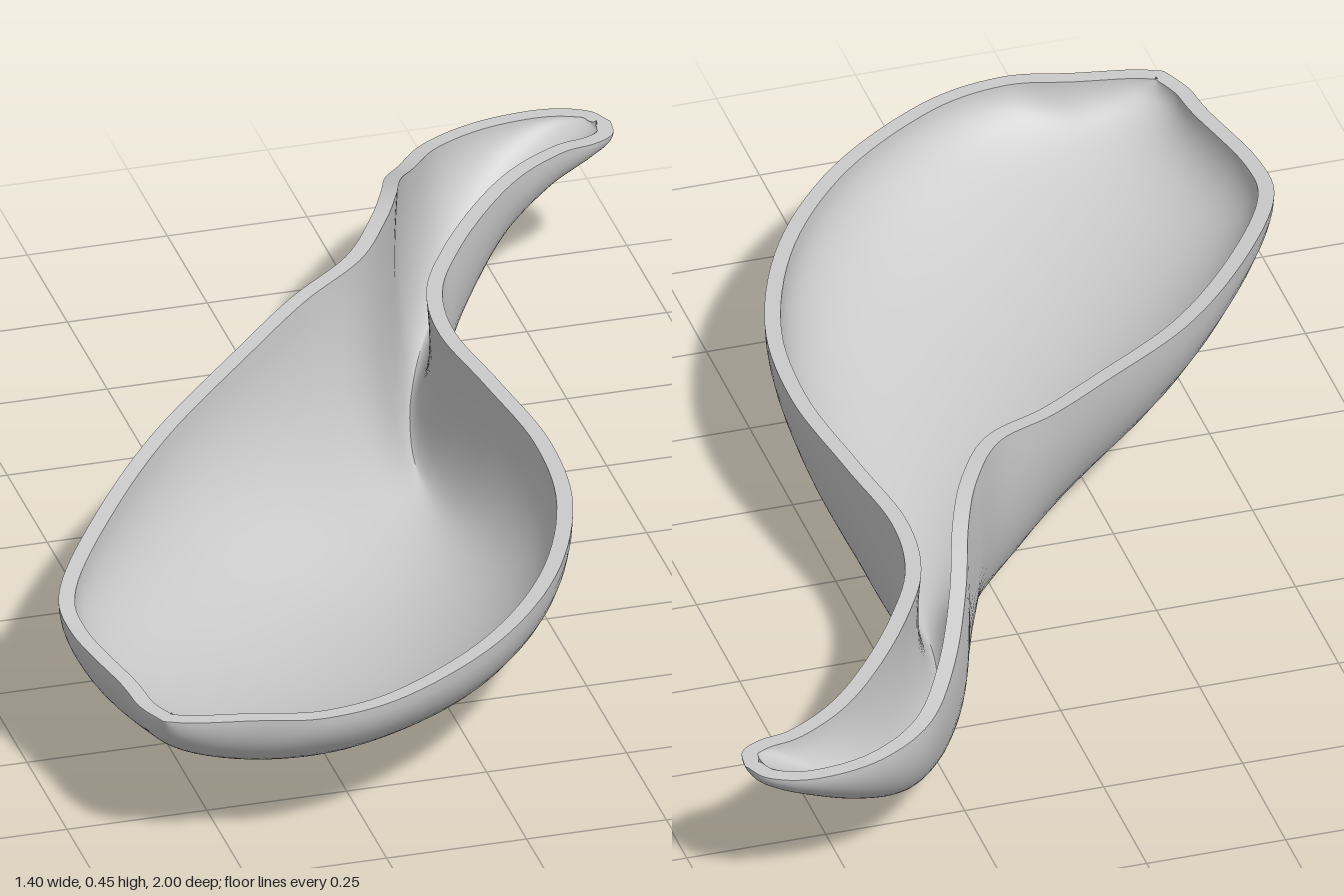
import * as THREE from 'three';

// Cross-sections from the blunt end to the handle tip:
// high rim x, y, z | low rim x, z | depth y
const SECTIONS = [
  [-0.63, 0.29, 0.935, -0.63, 0.935, 0.29],
  [-0.655, 0.29, 0.87, -0.58, 0.955, 0.24],
  [-0.665, 0.293, 0.79, -0.48, 0.975, 0.195],
  [-0.7, 0.3, 0.6, -0.355, 1.0, 0.15],
  [-0.68, 0.31, 0.46, -0.2, 0.96, 0.11],
  [-0.56, 0.33, 0.26, 0.0, 0.82, 0.06],
  [-0.4, 0.36, 0.06, 0.16, 0.62, 0.03],
  [-0.2, 0.4, -0.12, 0.26, 0.38, 0.012],
  [-0.07, 0.425, -0.23, 0.285, 0.15, 0.003],
  [0.05, 0.445, -0.31, 0.26, -0.08, 0],
  [0.125, 0.45, -0.42, 0.235, -0.27, 0.01],
  [0.175, 0.435, -0.53, 0.255, -0.42, 0.025],
  [0.22, 0.39, -0.66, 0.32, -0.55, 0.045],
  [0.28, 0.335, -0.79, 0.41, -0.68, 0.078],
  [0.36, 0.305, -0.91, 0.5, -0.78, 0.13],
  [0.47, 0.293, -0.98, 0.59, -0.84, 0.185],
  [0.59, 0.29, -1.0, 0.65, -0.855, 0.23],
  [0.67, 0.29, -0.975, 0.69, -0.88, 0.262],
  [0.7, 0.29, -0.925, 0.7, -0.925, 0.29],
];
const RIM = 0.29, WALL = 0.028, N = 126, M = 32;

// Smooth grid surface from a point rule p(i, j)
function grid(n, m, p) {
  const pos = [], index = [], w = m + 1;
  for (let i = 0; i <= n; i++) for (let j = 0; j <= m; j++) pos.push(...p(i, j).toArray());
  for (let i = 0; i < n; i++) for (let j = 0; j < m; j++) {
    const a = i * w + j, b = a + w;
    index.push(a, b, a + 1, b, b + 1, a + 1);
  }
  const g = new THREE.BufferGeometry();
  g.setAttribute('position', new THREE.Float32BufferAttribute(pos, 3));
  g.setIndex(index);
  g.computeVertexNormals();
  return g;
}

// Give each collapsed end row one shared normal
function smoothPoles(g) {
  const nor = g.attributes.normal, v = new THREE.Vector3();
  for (const i of [0, N]) {
    const sum = new THREE.Vector3();
    for (let j = 0; j <= M; j++) sum.add(v.fromBufferAttribute(nor, i * (M + 1) + j));
    sum.normalize();
    for (let j = 0; j <= M; j++) nor.setXYZ(i * (M + 1) + j, sum.x, sum.y, sum.z);
  }
  return g;
}

export function createModel() {
  const group = new THREE.Group();
  group.name = 'scoop';
  const material = new THREE.MeshStandardMaterial({ color: 0xcccccc });
  const add = (name, geometry) => {
    const mesh = new THREE.Mesh(geometry, material);
    mesh.name = name;
    group.add(mesh);
  };
  const curve = (f) => new THREE.CatmullRomCurve3(
    SECTIONS.map((s) => new THREE.Vector3(...f(s))), false, 'catmullrom', 0.5);
  const high = curve((s) => [s[0], s[1], s[2]]);
  const low = curve((s) => [s[3], RIM, s[4]]);
  const depth = curve((s) => [0, s[5], 0]);

  // Outer shell: half-ellipse sections, bulging past the rim at the neck
  const outerPoint = (i, j) => {
    const t = i / N, a = (j / M - 0.5) * Math.PI;
    const bulge = 0.5 * Math.exp(-(((t * (SECTIONS.length - 1) - 11) / 1.6) ** 2));
    const c = Math.cos(a), s = Math.sin(a) * (1 + bulge * c);
    const A = high.getPoint(t), B = low.getPoint(t);
    const p = A.clone().lerp(B, (s + 1) / 2);
    const rim = THREE.MathUtils.lerp(A.y, B.y, (Math.sin(a) + 1) / 2);
    p.y = rim - (rim - Math.max(0, depth.getPoint(t).y)) * c;
    return p;
  };
  const outer = smoothPoles(grid(N, M, outerPoint));
  add('outerShell', outer);

  // Inner shell: outer shell moved in by the wall thickness, rim kept level
  const innerPoint = (i, j) => {
    const k = i * (M + 1) + j;
    const p = new THREE.Vector3().fromBufferAttribute(outer.attributes.position, k);
    const y = p.y;
    p.addScaledVector(new THREE.Vector3().fromBufferAttribute(outer.attributes.normal, k), -WALL);
    if (j === 0 || j === M || i === 0 || i === N) p.y = y;
    return p;
  };
  add('innerShell', smoothPoles(grid(N, M, (i, j) => innerPoint(i, M - j))));

  // Flat lip joining both shells along each side
  add('highLip', grid(N, 1, (i, j) => (j ? outerPoint(i, 0) : innerPoint(i, 0))));
  add('lowLip', grid(N, 1, (i, j) => (j ? innerPoint(i, M) : outerPoint(i, M))));
  return group;
}
